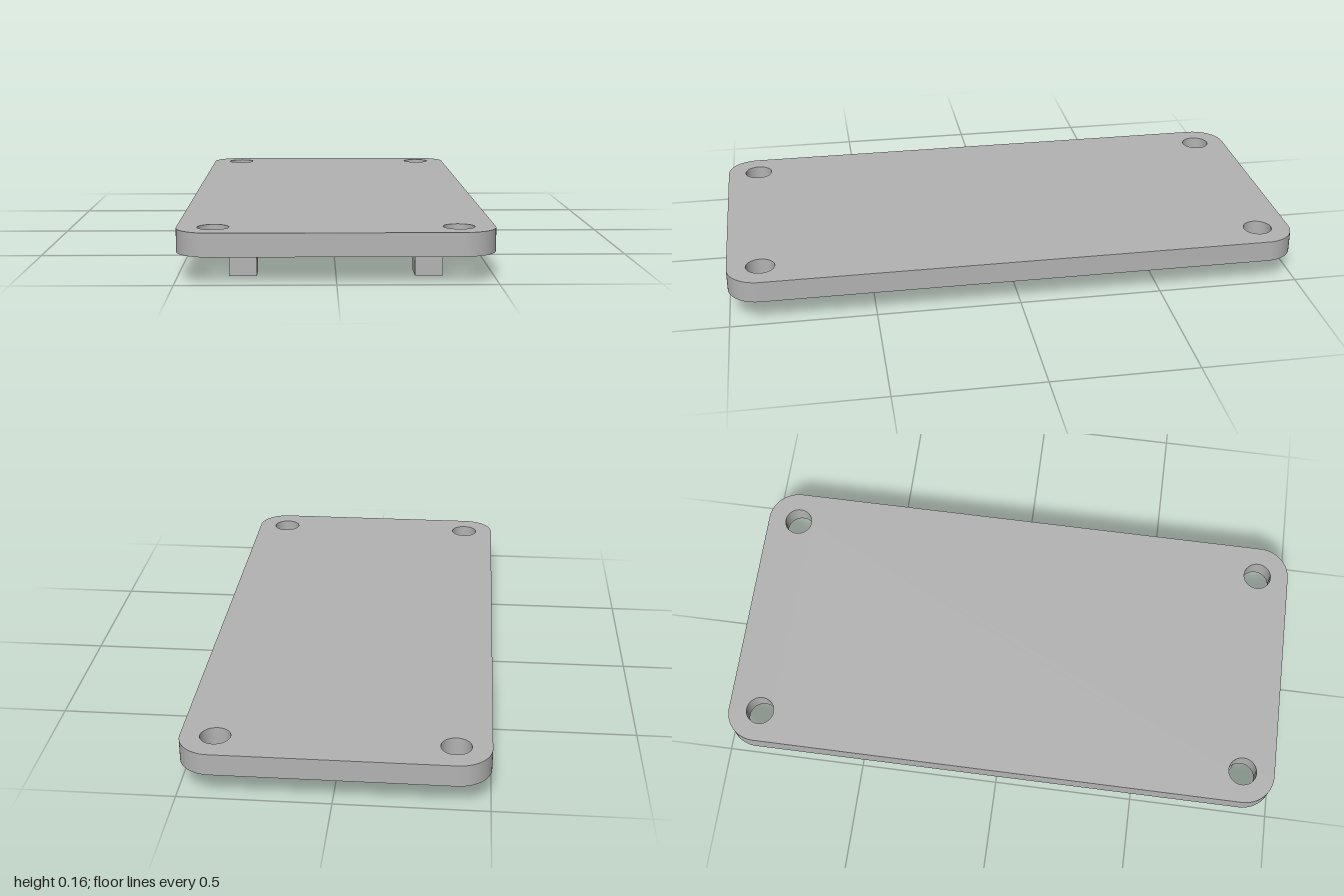
import * as THREE from 'three';
import { toCreasedNormals } from 'three/addons/utils/BufferGeometryUtils.js';

const FOOT_H = 0.087, PLATE_H = 0.075;

// Rounded rectangle outline with four screw holes
function plateShape(w, l, r) {
  const x = w / 2, y = l / 2;
  const s = new THREE.Shape();
  s.moveTo(-x + r, -y);
  s.absarc(x - r, -y + r, r, -Math.PI / 2, 0);
  s.absarc(x - r, y - r, r, 0, Math.PI / 2);
  s.absarc(-x + r, y - r, r, Math.PI / 2, Math.PI);
  s.absarc(-x + r, -y + r, r, Math.PI, Math.PI * 1.5);
  s.closePath();
  for (const sx of [-1, 1]) {
    for (const sy of [-1, 1]) {
      s.holes.push(new THREE.Path().absarc(sx * 0.385, sy * 0.885, 0.05, 0, Math.PI * 2, true));
    }
  }
  return s;
}

export function createModel() {
  const model = new THREE.Group();
  model.name = 'coverPlate';
  const grey = new THREE.MeshStandardMaterial({ color: 0xb3b3b3 });
  grey.name = 'grey';

  // Plate, laid flat on top of the feet
  const geo = new THREE.ExtrudeGeometry(plateShape(1, 2, 0.11), {
    depth: PLATE_H, bevelEnabled: false, curveSegments: 20,
  });
  geo.rotateX(-Math.PI / 2);
  const plate = new THREE.Mesh(toCreasedNormals(geo, Math.PI / 6), grey);
  plate.name = 'plate';
  plate.position.y = FOOT_H;
  model.add(plate);

  // Block feet: the back pair is longer than the front pair
  const pairs = [['front', 0.751, 0.86], ['back', -0.857, -0.711]];
  for (const [end, z0, z1] of pairs) {
    for (const side of [-1, 1]) {
      const foot = new THREE.Mesh(new THREE.BoxGeometry(0.088, FOOT_H, z1 - z0), grey);
      foot.name = end + (side > 0 ? 'Left' : 'Right') + 'Foot';
      foot.position.set(side * 0.294, FOOT_H / 2, (z0 + z1) / 2);
      model.add(foot);
    }
  }
  return model;
}
